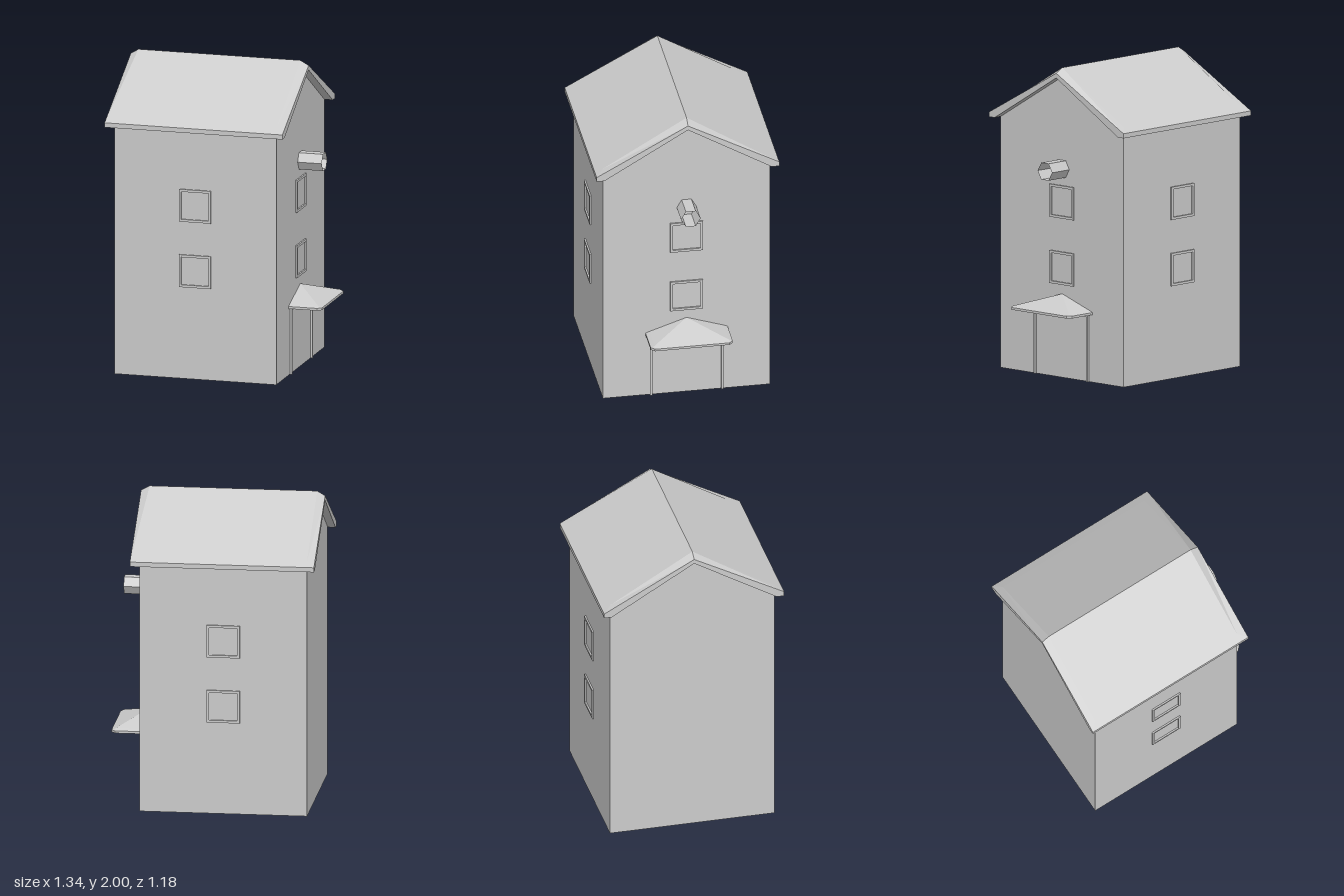
import * as THREE from 'three';

const X0 = -0.62, X1 = 0.455, Z = 0.54, EAVE = 1.62; // wall faces and eave height
const material = new THREE.MeshStandardMaterial({ color: 0xcccccc, flatShading: true, side: THREE.DoubleSide });

function mesh(name, geometry) {
  const m = new THREE.Mesh(geometry, material);
  m.name = name;
  return m;
}

// Flat-shaded geometry from planar polygons, each cut into a fan from its first corner
function fromPolygons(polygons) {
  const pos = [];
  const tri = new THREE.Triangle();
  for (const p of polygons) {
    for (let i = 1; i < p.length - 1; i++) {
      tri.set(...[p[0], p[i], p[i + 1]].map(v => new THREE.Vector3(...v)));
      if (tri.getArea() > 1e-9) pos.push(...p[0], ...p[i], ...p[i + 1]);
    }
  }
  const g = new THREE.BufferGeometry();
  g.setAttribute('position', new THREE.Float32BufferAttribute(pos, 3));
  g.computeVertexNormals();
  return g;
}

// Four walls with gables, open underneath
function walls() {
  const gable = x => [[x, 0, Z], [x, 0, -Z], [x, EAVE, -Z], [x, 1.94, 0], [x, EAVE, Z]];
  const side = z => [[X0, 0, z], [X1, 0, z], [X1, EAVE, z], [X0, EAVE, z]];
  return mesh('walls', fromPolygons([gable(X1), gable(X0).reverse(), side(Z), side(-Z).reverse()]));
}

// Gable roof: folded slab with bevelled upper rims
function roof() {
  const section = (x, ridge, rimZ, rimY) => [
    [-0.59, 1.62], [-Z, 1.62], [0, 1.94], [Z, 1.62], [0.59, 1.62], [0.59, 1.65],
    [rimZ, rimY], [0, ridge], [-rimZ, rimY], [-0.59, 1.65],
  ].map(([z, y]) => [x, y, z]);
  const rings = [
    section(-0.67, 1.97, 0.59, 1.65), section(X0, 2, Z, 1.68),
    section(X1, 2, Z, 1.68), section(0.51, 1.97, 0.59, 1.65),
  ];
  const polys = [];
  for (let r = 0; r < 3; r++) {
    const a = rings[r], b = rings[r + 1];
    a.forEach((p, i) => {
      const j = (i + 1) % a.length;
      polys.push([p, b[i], b[j], a[j]]);
    });
  }
  // end faces, one half per slope
  for (const x of [-0.67, 0.51]) for (const s of [-1, 1]) {
    const half = [[Z, 1.62], [0.59, 1.62], [0.59, 1.65], [0, 1.97], [0, 1.94]].map(([z, y]) => [x, y, s * z]);
    polys.push(x * s > 0 ? half.reverse() : half);
  }
  return mesh('roof', fromPolygons(polys));
}

// Square window frame standing proud of the wall
function windowFrame() {
  const square = (T, h) => new T([[-h, -h], [h, -h], [h, h], [-h, h]].map(p => new THREE.Vector2(...p)));
  const shape = square(THREE.Shape, 0.106);
  shape.holes.push(square(THREE.Path, 0.09));
  return mesh('windowFrame', new THREE.ExtrudeGeometry(shape, { depth: 0.01, bevelEnabled: false }));
}

// Hipped canopy over the door, with a small bevel round its rim
function canopy() {
  const outline = y => [[X1, 0.265], [0.645, 0.265], [0.67, 0.24], [0.67, -0.24], [0.645, -0.265], [X1, -0.265]]
    .map(([x, z]) => [x, y, z]);
  const inner = [[X1, 0.24], [0.645, 0.24], [0.645, 0.24], [0.645, -0.24], [0.645, -0.24], [X1, -0.24]]
    .map(([x, z]) => [x, 0.46, z]);
  const rings = [outline(0.435), outline(0.45), inner, inner.map(() => [X1, 0.54, 0])];
  const polys = [outline(0.435).reverse()];
  for (let r = 0; r < 3; r++) for (let i = 0; i < 5; i++) {
    polys.push([rings[r][i], rings[r][i + 1], rings[r + 1][i + 1], rings[r + 1][i]]);
  }
  return mesh('doorCanopy', fromPolygons(polys));
}

// Door surround: two posts and a lintel
function doorFrame() {
  const shape = new THREE.Shape([
    [-0.237, 0], [-0.223, 0], [-0.223, 0.42], [0.223, 0.42],
    [0.223, 0], [0.237, 0], [0.237, 0.435], [-0.237, 0.435],
  ].map(p => new THREE.Vector2(...p)));
  const m = mesh('doorFrame', new THREE.ExtrudeGeometry(shape, { depth: 0.015, bevelEnabled: false }));
  m.rotation.y = Math.PI / 2;
  m.position.x = X1;
  return m;
}

// Hollow six-sided pipe sticking out of the gable
function pipe() {
  const g = new THREE.CylinderGeometry(0.063, 0.063, 0.16, 6, 1, true);
  g.rotateZ(-Math.PI / 2);
  const m = mesh('pipe', g);
  m.position.set(X1 + 0.08, 1.348, 0);
  return m;
}

export function createModel() {
  const house = new THREE.Group();
  house.name = 'house';
  house.add(walls(), roof(), canopy(), doorFrame(), pipe());

  // Two storeys of windows on the front, back and door sides
  const sides = [[-0.083, Z, 0], [-0.083, -Z, Math.PI], [X1, 0, Math.PI / 2]];
  for (const y of [0.705, 1.133]) for (const [x, z, turn] of sides) {
    const w = windowFrame();
    w.position.set(x, y, z);
    w.rotation.y = turn;
    house.add(w);
  }
  return house;
}
